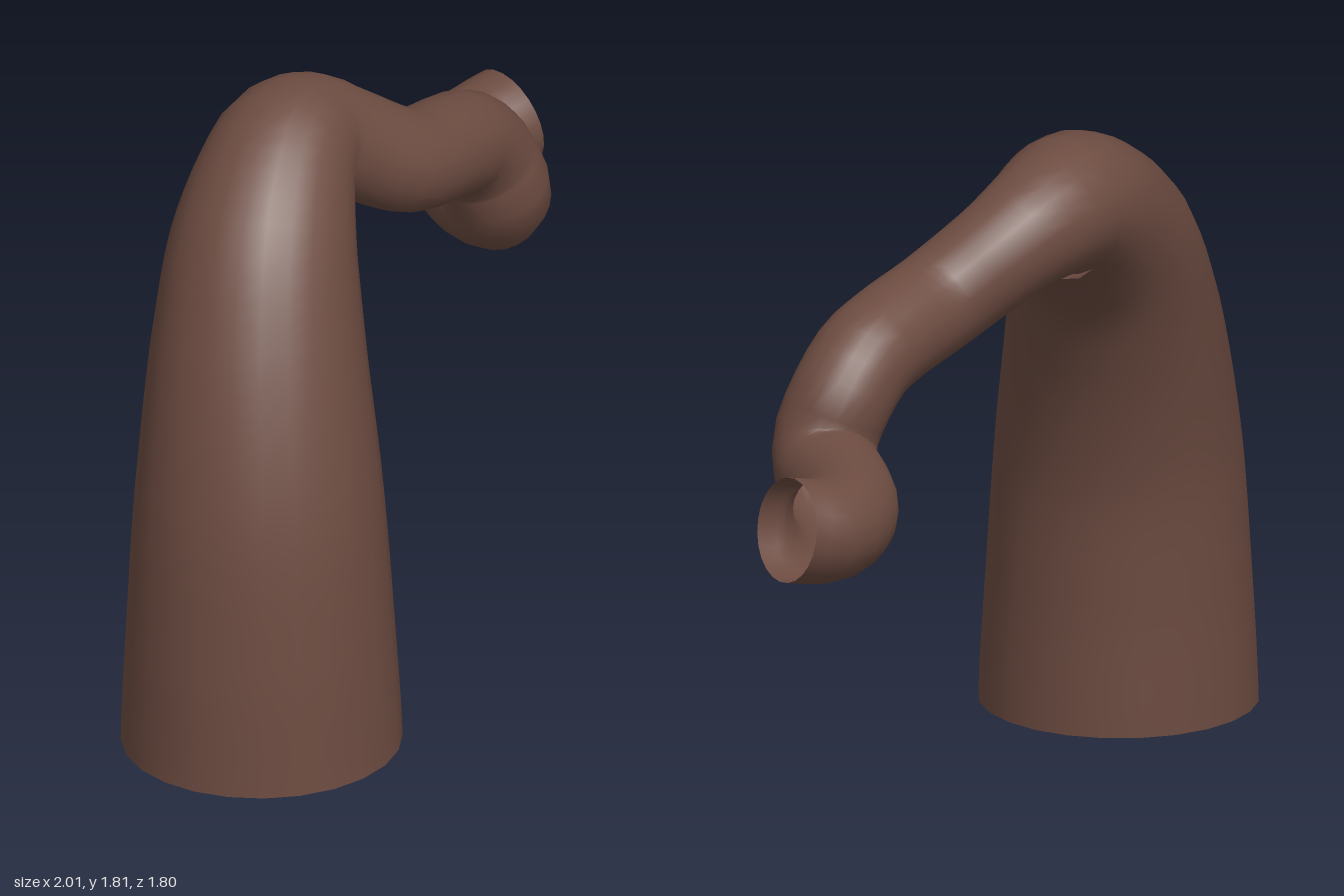
import * as THREE from 'three';

// Centre line and radius of the pipe: x, y, z, r
const STATIONS = [
  [-0.6, 0.015, 0.5, 0.4],
  [-0.595, 0.4, 0.485, 0.38],
  [-0.575, 0.8, 0.445, 0.352],
  [-0.51, 1.2, 0.335, 0.305],
  [-0.42, 1.45, 0.22, 0.265],
  [-0.26, 1.605, 0.07, 0.212],
  [-0.13, 1.59, -0.01, 0.178],
  [0, 1.52, -0.03, 0.157],
  [0.2, 1.4, -0.04, 0.15],
  [0.4, 1.34, -0.14, 0.15],
  [0.5, 1.3, -0.2, 0.15],
  [0.585, 1.21, -0.24, 0.15],
  [0.635, 1.1, -0.245, 0.15],
  [0.66, 1.03, -0.3, 0.15],
  [0.67, 1.0, -0.4, 0.15],
  [0.7, 0.98, -0.53, 0.15],
  [0.77, 0.97, -0.66, 0.15],
  [0.86, 0.97, -0.735, 0.15],
  [0.98, 0.99, -0.755, 0.15],
];

// Tube whose rings are scaled to a radius that varies along the path
function taperedTube(stations, segments, sides) {
  const path = new THREE.CatmullRomCurve3(stations.map(([x, y, z]) => new THREE.Vector3(x, y, z)));
  const radii = new THREE.SplineCurve(stations.map((s) => new THREE.Vector2(s[3], 0)));
  const geometry = new THREE.TubeGeometry(path, segments, 1, sides, false);
  const { position, normal } = geometry.attributes;
  const v = new THREE.Vector3();
  for (let ring = 0; ring <= segments; ring++) {
    const u = ring / segments;
    const centre = path.getPointAt(u);
    const radius = radii.getPoint(path.getUtoTmapping(u)).x;
    for (let side = 0; side <= sides; side++) {
      const i = ring * (sides + 1) + side;
      v.fromBufferAttribute(normal, i).multiplyScalar(radius).add(centre);
      position.setXYZ(i, v.x, v.y, v.z);
    }
  }
  return geometry;
}

export function createModel() {
  const group = new THREE.Group();
  group.name = 'bentPipe';

  // Open-ended pipe: wide upright trunk narrowing into a winding arm
  const material = new THREE.MeshStandardMaterial({ color: 0x6d4c41, side: THREE.DoubleSide });
  const pipe = new THREE.Mesh(taperedTube(STATIONS, 64, 24), material);
  pipe.name = 'taperedPipe';
  group.add(pipe);
  return group;
}
